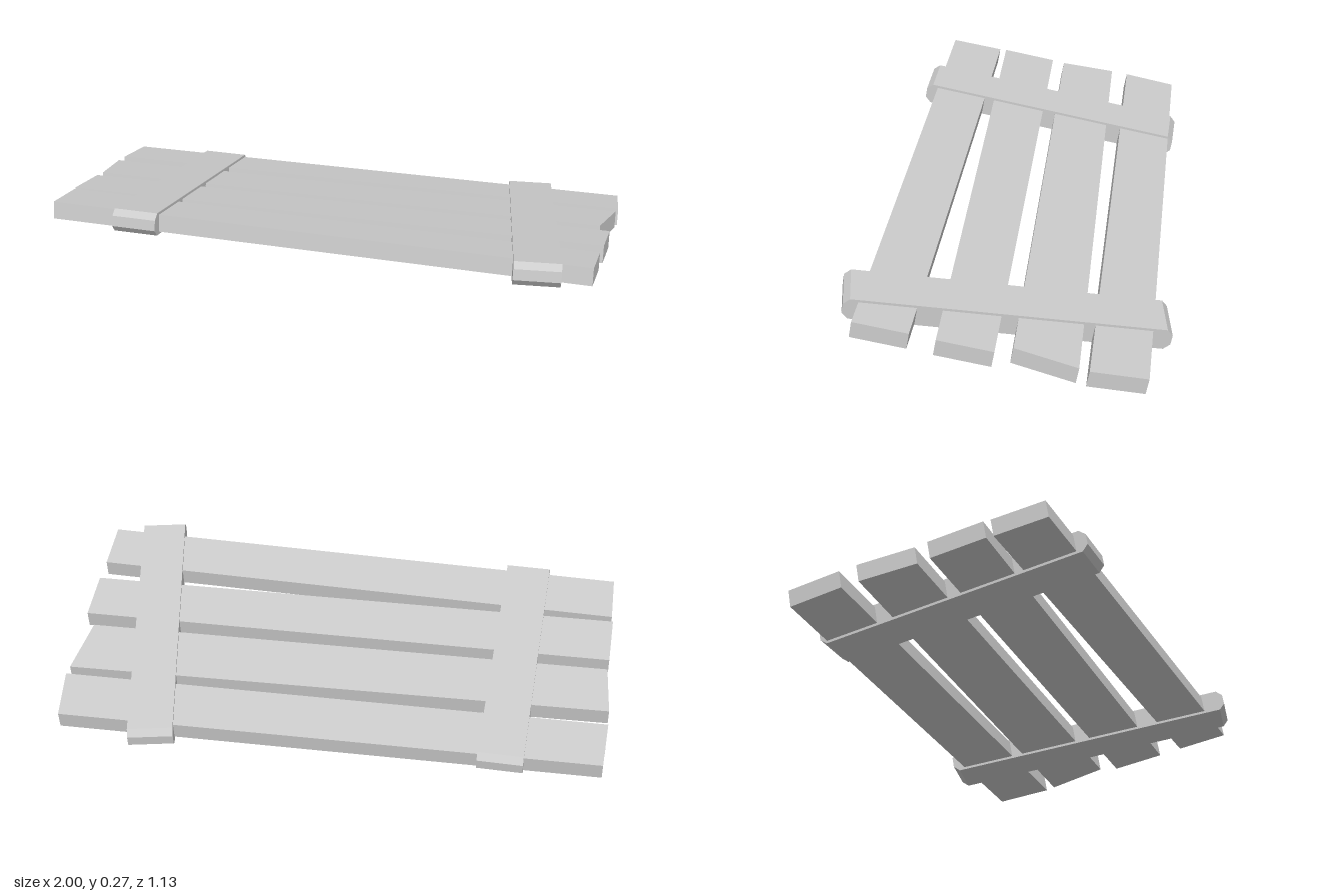
import * as THREE from 'three';

const TILT = THREE.MathUtils.degToRad(10);
const PLANK_T = 0.064;
const STRAP_T = 0.083;

const material = new THREE.MeshStandardMaterial({ color: 0xcccccc, flatShading: true });

function polygon(points) {
  return new THREE.Shape(points.map(([x, y]) => new THREE.Vector2(x, y)));
}

function addMesh(parent, name, geometry) {
  const mesh = new THREE.Mesh(geometry, material);
  mesh.name = name;
  parent.add(mesh);
  return mesh;
}

// Uneven four-sided board: outline in x/z, extruded through its thickness
function plankGeometry(corners) {
  // convert plan positions of the top face to the untilted frame
  const flat = corners.map(([x, z]) =>
    [x, (z + PLANK_T / 2 * Math.sin(TILT)) / Math.cos(TILT)]);
  const geo = new THREE.ExtrudeGeometry(polygon(flat), { depth: PLANK_T, bevelEnabled: false });
  geo.rotateX(Math.PI / 2);
  geo.translate(0, PLANK_T / 2, 0);
  return geo;
}

// Solid cross batten with chamfered ends: side profile extruded across its width
function battenGeometry(halfLength, width) {
  const h = STRAP_T / 2, c = 0.022;
  const e = halfLength, s = halfLength - c, k = h - c;
  const profile = [[-s, -h], [s, -h], [e, -k], [e, k], [s, h], [-s, h], [-e, k], [-e, -k]];
  const geo = new THREE.ExtrudeGeometry(polygon(profile), { depth: width, bevelEnabled: false });
  geo.translate(0, 0, -width / 2);
  geo.rotateY(-Math.PI / 2);
  return geo;
}

export function createModel() {
  const model = new THREE.Group();
  model.name = 'plankPanel';

  // Whole panel leans, front edge raised
  const panel = new THREE.Group();
  panel.name = 'tiltedPanel';
  panel.rotation.x = -TILT;
  panel.position.y = 0.138;
  model.add(panel);

  // Planks, back to front: back left, back right, front right, front left
  const planks = [
    [[-0.99, -0.5], [0.975, -0.5], [0.998, -0.303], [-1, -0.308]],
    [[-1, -0.245], [0.992, -0.268], [0.957, -0.046], [-0.985, -0.041]],
    [[-0.99, 0.006], [0.998, 0.012], [0.998, 0.206], [-0.995, 0.206]],
    [[-0.99, 0.23], [0.994, 0.295], [0.994, 0.486], [-0.99, 0.421]],
  ];
  planks.forEach((corners, i) => addMesh(panel, `plank${i + 1}`, plankGeometry(corners)));

  // Crooked battens holding the planks together
  const battens = [
    { name: 'rightBatten', x: -0.645, z: -0.019, half: 0.506, yaw: -1.6 },
    { name: 'leftBatten', x: 0.717, z: 0, half: 0.567, yaw: 9.7 },
  ];
  for (const b of battens) {
    const mesh = addMesh(panel, b.name, battenGeometry(b.half, 0.164));
    mesh.position.set(b.x, 0, b.z);
    mesh.rotation.y = THREE.MathUtils.degToRad(b.yaw);
  }

  return model;
}
